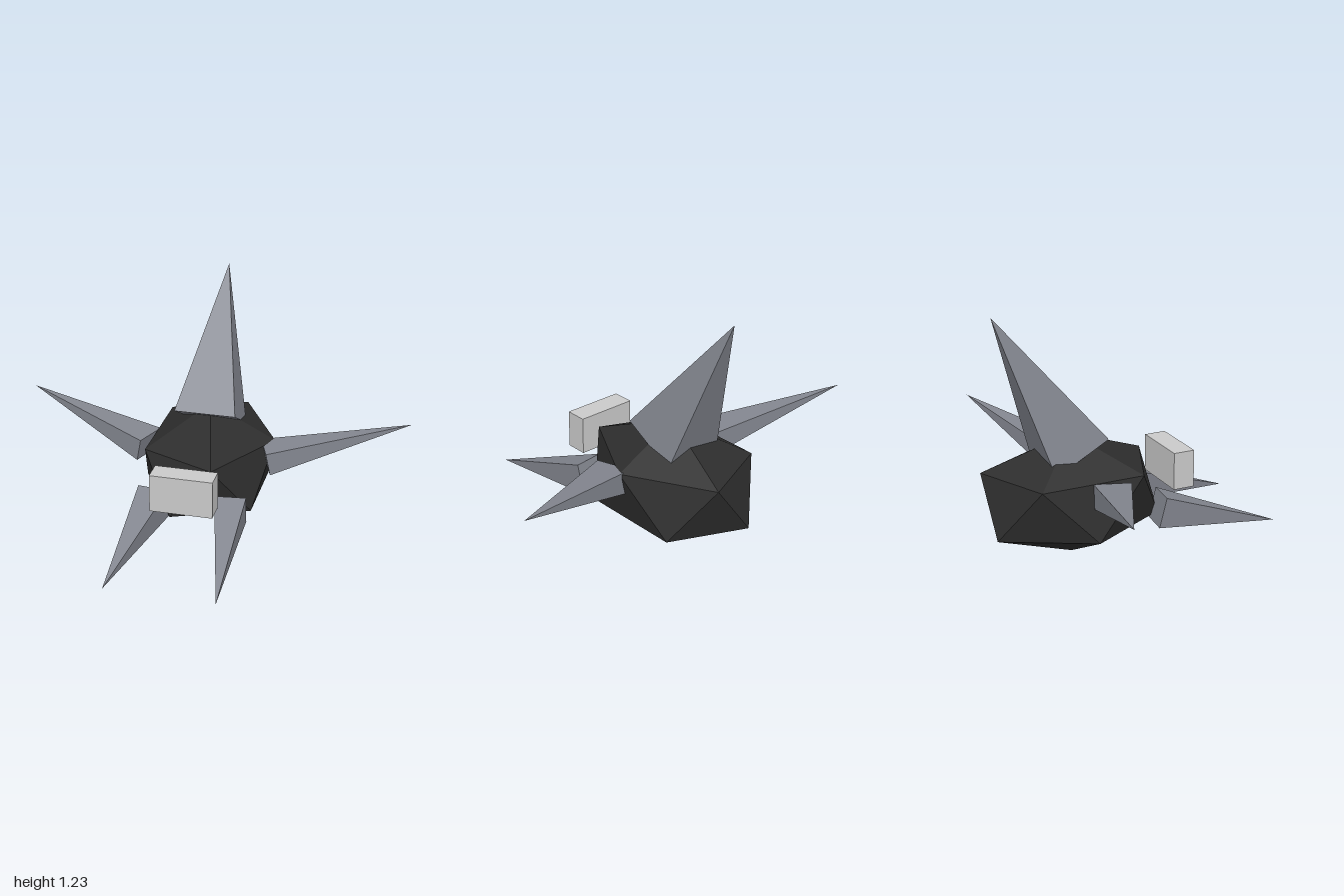
import * as THREE from 'three';

const flat = (name, color) => {
  const m = new THREE.MeshStandardMaterial({ color, flatShading: true });
  m.name = name;
  return m;
};

// Twenty-sided body: two poles and two staggered rings of five, then stretched
function bodyGeometry() {
  const ringY = 1 / Math.sqrt(5);
  const ringR = 2 * ringY;
  const points = [0, 1, 0, 0, -1, 0];
  for (let k = 0; k < 5; k++) {
    for (const half of [0, 1]) {
      const a = (k + half / 2) * Math.PI * 0.4;
      points.push(ringR * Math.cos(a), half ? -ringY : ringY, ringR * Math.sin(a));
    }
  }
  const index = [];
  for (let k = 0; k < 5; k++) {
    const n = (k + 1) % 5;
    const u = 2 + 2 * k, l = u + 1, un = 2 + 2 * n, ln = un + 1;
    index.push(0, un, u, u, un, l, l, un, ln, 1, l, ln);
  }
  const g = new THREE.BufferGeometry();
  g.setAttribute('position', new THREE.Float32BufferAttribute(points, 3));
  g.setIndex(index);
  g.scale(0.375, 0.307, 0.497);
  const out = g.toNonIndexed();
  out.computeVertexNormals();
  return out;
}

// Four-sided spike from a base centre to a tip; width is the horizontal base side
function spike(name, base, tip, width, thickness, material) {
  const from = new THREE.Vector3(...base);
  const axis = new THREE.Vector3(...tip).sub(from);
  const length = axis.length();
  axis.normalize();
  const side = new THREE.Vector3().crossVectors(axis, new THREE.Vector3(0, 1, 0)).normalize();
  const across = new THREE.Vector3().crossVectors(side, axis);

  const g = new THREE.ConeGeometry(Math.SQRT1_2, 1, 4);
  g.rotateY(Math.PI / 4);
  g.translate(0, 0.5, 0);
  g.scale(width, length, thickness);
  g.applyMatrix4(new THREE.Matrix4().makeBasis(side, axis, across).setPosition(from));
  const mesh = new THREE.Mesh(g, material);
  mesh.name = name;
  return mesh;
}

export function createModel() {
  const model = new THREE.Group();
  model.name = 'spikedCreature';
  const dark = flat('darkBody', 0x2d2d2d);
  const grey = flat('greySpike', 0x83868f);
  const light = flat('lightBlock', 0xcacaca);

  const body = new THREE.Mesh(bodyGeometry(), dark);
  body.name = 'body';
  body.position.set(0, 0.312, -0.286);
  model.add(body);

  // Floating block in front of the body
  const block = new THREE.Mesh(new THREE.BoxGeometry(0.31, 0.19, 0.11), light);
  block.name = 'frontBlock';
  block.position.set(0, 0.389, 0.254);
  model.add(block);

  model.add(spike('topFin', [0, 0.54, -0.29], [0, 1.23, -0.67], 0.31, 0.31, grey));

  // Mirrored side fins and front spikes
  for (const [label, s] of [['left', 1], ['right', -1]]) {
    model.add(spike(label + 'Fin', [s * 0.304, 0.39, -0.205], [s, 0.54, -0.445], 0.18, 0.117, grey));
    model.add(spike(label + 'FrontSpike', [s * 0.193, 0.235, 0.09], [s * 0.27, 0.083, 0.71], 0.155, 0.155, grey));
  }
  return model;
}
